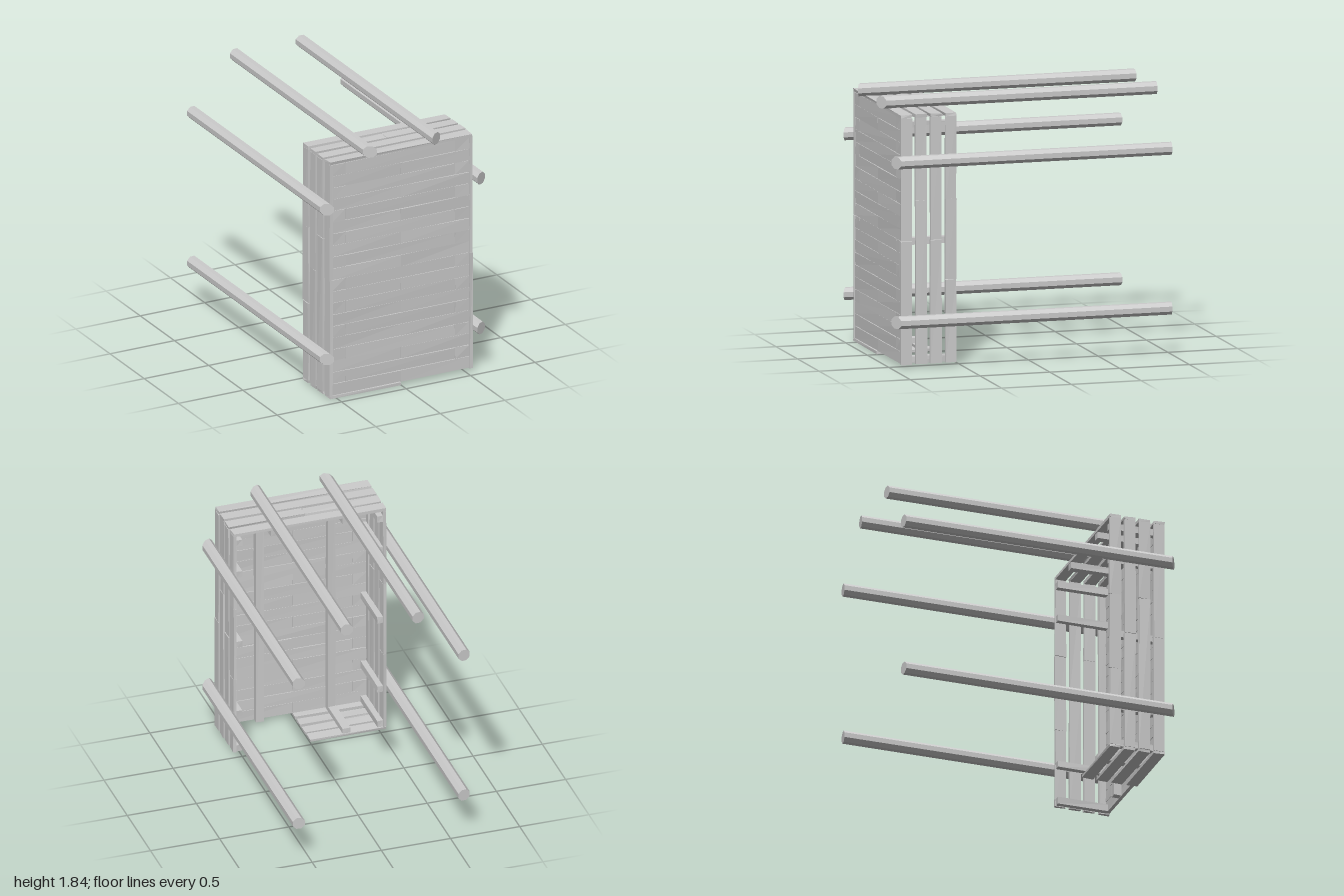
import * as THREE from 'three';

export function createModel() {
  const root = new THREE.Group();
  const material = new THREE.MeshStandardMaterial({ color: 0xcccccc, flatShading: true });

  // Small seeded wobble for rough-sawn timber
  let seed = 7;
  const wobble = (amount) => {
    seed = (seed * 16807) % 2147483647;
    return (seed / 2147483647 - 0.5) * 2 * amount;
  };

  const group = (name) => {
    const g = new THREE.Group();
    g.name = name;
    root.add(g);
    return g;
  };

  // Box between two corners, each of its eight corners nudged a little
  function plank(parent, name, [x0, x1], [y0, y1], [z0, z1], rough = 0.003) {
    const geo = new THREE.BoxGeometry(x1 - x0, y1 - y0, z1 - z0);
    const offsets = Array.from({ length: 8 }, () => [wobble(rough), wobble(rough), wobble(rough)]);
    const p = geo.attributes.position;
    for (let i = 0; i < p.count; i++) {
      const corner = (p.getX(i) > 0 ? 1 : 0) + (p.getY(i) > 0 ? 2 : 0) + (p.getZ(i) > 0 ? 4 : 0);
      const o = offsets[corner];
      p.setXYZ(i, p.getX(i) + o[0], p.getY(i) + o[1], p.getZ(i) + o[2]);
    }
    geo.computeVertexNormals();
    const mesh = new THREE.Mesh(geo, material);
    mesh.name = name;
    mesh.position.set((x0 + x1) / 2, (y0 + y1) / 2, (z0 + z1) / 2);
    parent.add(mesh);
  }

  // Consecutive [start, end] pairs with a hairline joint between boards
  const pieces = (stops) => stops.slice(1).map((end, i) => [stops[i] + 0.001, end - 0.001]);

  // Front panel: staggered horizontal boards
  const front = group('frontPanel');
  const rows = 20, pitch = 1.71 / rows;
  for (let i = 0; i < rows; i++) {
    const y = 0.025 + i * pitch;
    const stops = i % 2 === 0 ? [-0.535, 0, 0.53] : [-0.535, -0.43, 0.42, 0.53];
    for (const xs of pieces(stops)) {
      plank(front, 'frontBoard', xs, [y + 0.001, y + pitch - 0.001], [0.9, 0.924], 0.002);
    }
  }

  // Four spaced strips shared by the walls, roof and half floor
  const strips = [[0.53, 0.61], [0.637, 0.717], [0.743, 0.823], [0.85, 0.93]];
  const wallStops = [[0.02, 0.6, 1.16, 1.738], [0.02, 0.88, 1.738], [0.02, 1.16, 1.738], [0.02, 0.88, 1.738]];
  for (const side of [-1, 1]) {
    const wall = group(side > 0 ? 'leftWall' : 'rightWall');
    const xs = side > 0 ? [0.53, 0.553] : [-0.553, -0.53];
    strips.forEach((zs, i) => {
      for (const ys of pieces(wallStops[i])) plank(wall, 'wallBoard', xs, ys, zs);
    });
    // Battens on the inside of the wall
    for (const y of [0.05, 0.325, 0.875, 1.43, 1.68]) {
      plank(wall, 'wallBatten', side > 0 ? [0.488, 0.53] : [-0.53, -0.488],
        [y - 0.024, y + 0.024], [0.535, 0.9], 0.002);
    }
  }

  const roof = group('roof');
  const floor = group('halfFloor');
  strips.forEach((zs, i) => {
    for (const xs of pieces(i === 1 ? [-0.552, 0, 0.552] : [-0.552, 0.552])) {
      plank(roof, 'roofBoard', xs, [1.738, 1.759], zs);
    }
    plank(floor, 'floorBoard', [-0.55, 0], [0.003, 0.022], zs);
  });

  // Posts behind the front panel and battens beneath the roof
  const frame = group('innerFrame');
  for (const x of [-0.265, 0.255]) {
    const xs = [x - 0.028, x + 0.028];
    plank(frame, 'post', xs, [0.03, 1.735], [0.85, 0.9]);
    plank(frame, 'roofBatten', xs, [1.692, 1.738], [0.535, 0.9], 0.002);
  }
  plank(frame, 'floorBatten', [-0.293, -0.237], [0.022, 0.06], [0.535, 0.9], 0.002);

  // Long octagonal poles running back, with slanted front ends
  const poles = group('poles');
  for (const [x, y] of [[-0.6, 1.437], [-0.6, 0.325], [0.595, 1.437], [0.595, 0.325], [-0.268, 1.8], [0.247, 1.8]]) {
    const geo = new THREE.CylinderGeometry(0.0455, 0.0455, 1.98, 8);
    geo.rotateY(Math.PI / 8);
    geo.rotateX(Math.PI / 2);
    const p = geo.attributes.position;
    for (let i = 0; i < p.count; i++) {
      const inward = -Math.sign(x) * p.getX(i);
      p.setZ(i, p.getZ(i) > 0 ? 0.975 + inward * 0.55 : -1 + 0.01 * (0.5 - inward / 0.09));
    }
    geo.computeVertexNormals();
    const mesh = new THREE.Mesh(geo, material);
    mesh.name = 'pole';
    mesh.position.set(x, y, 0);
    poles.add(mesh);
  }

  return root;
}
